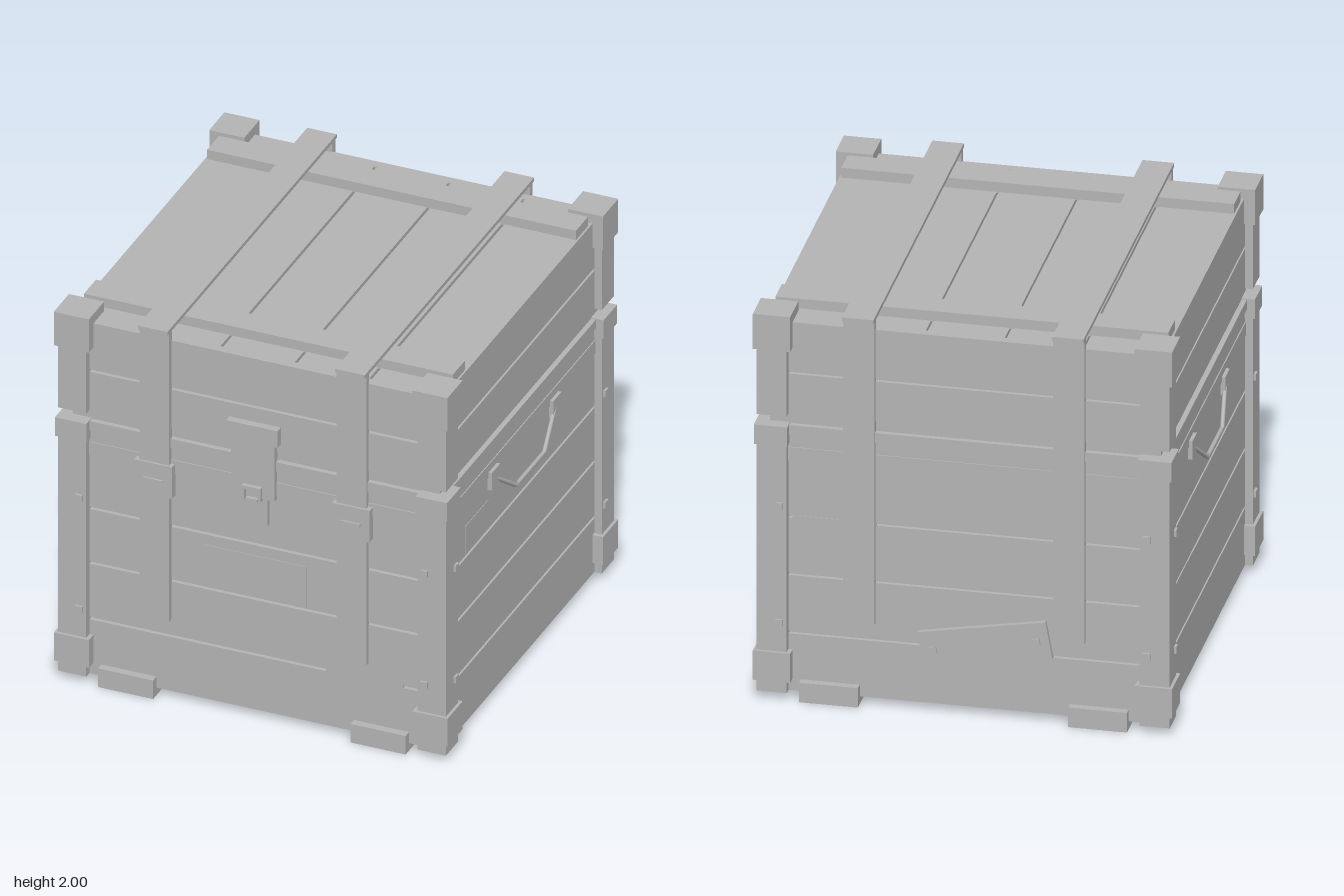
import * as THREE from 'three';

export function createModel() {
  const root = new THREE.Group();
  root.name = 'strappedCrate';
  const grey = new THREE.MeshStandardMaterial({ color: 0xb4b4b4 });
  grey.name = 'plainGrey';

  // Box given by its lower and upper limits on each axis
  const box = (name, x0, x1, y0, y1, z0, z1, parent = root) => {
    const m = new THREE.Mesh(new THREE.BoxGeometry(x1 - x0, y1 - y0, z1 - z0), grey);
    m.position.set((x0 + x1) / 2, (y0 + y1) / 2, (z0 + z1) / 2);
    m.name = name;
    parent.add(m);
    return m;
  };
  const sides = [-1, 1];
  // Box mirrored to the side s along one axis
  const span = (s, a, b) => (s > 0 ? [a, b] : [-b, -a]);

  // Inner chest and lid cores, seen only in the grooves and the seam
  box('chestCore', -0.925, 0.925, 0.1, 1.4, -0.925, 0.925);
  box('seamCore', -0.93, 0.93, 1.38, 1.48, -0.93, 0.93);
  box('lidCore', -0.925, 0.925, 1.46, 1.91, -0.925, 0.925);

  // Horizontal wall planks: bottom, top, outer face
  const planks = [
    [0.04, 0.33, 0.945], [0.345, 0.63, 0.945], [0.645, 0.925, 0.945], [0.94, 1.22, 0.945],
    [1.22, 1.29, 0.95], [1.29, 1.355, 0.945], [1.355, 1.405, 0.955],
    [1.46, 1.665, 0.945], [1.68, 1.93, 0.945],
  ];
  for (const [y0, y1, out] of planks) {
    for (const s of sides) {
      box('wallPlank', -0.94, 0.94, y0, y1, ...span(s, 0.9, out));
      box('sidePlank', ...span(s, 0.9, out), y0, y1, -0.94, 0.94);
    }
  }
  // Patch bridging the lowest front groove
  box('groovePatch', 0.36, 0.75, 0.32, 0.355, 0.9, 0.945);

  // Lid top boards and cross battens
  const cuts = [-0.945, -0.565, -0.188, 0.188, 0.565, 0.945];
  for (let i = 0; i < 5; i++) {
    box('lidBoard', cuts[i] + (i ? 0.007 : 0), cuts[i + 1] - (i < 4 ? 0.007 : 0), 1.89, 1.93, -0.945, 0.945);
  }
  for (const s of sides) box('lidBatten', -0.935, 0.935, 1.925, 1.98, ...span(s, 0.65, 0.79));

  // Corner posts, metal caps and bolts
  for (const sx of sides) {
    for (const sz of sides) {
      const corner = new THREE.Group();
      corner.name = 'corner';
      root.add(corner);
      const part = (name, inner, outer, y0, y1) =>
        box(name, ...span(sx, inner, outer), y0, y1, ...span(sz, inner, outer), corner);
      part('chestPost', 0.84, 0.983, 0.04, 1.4);
      part('lidPost', 0.84, 0.983, 1.46, 1.9);
      part('topCap', 0.82, 0.998, 1.8, 1.98);
      part('postCollar', 0.835, 0.994, 1.31, 1.41);
      part('bottomCap', 0.82, 0.998, 0.1, 0.25);
      for (const y of [0.4, 1.0]) {
        box('bolt', ...span(sx, 0.857, 0.892), y - 0.017, y + 0.017, ...span(sz, 0.97, 0.995), corner);
        box('bolt', ...span(sx, 0.97, 0.995), y - 0.017, y + 0.017, ...span(sz, 0.857, 0.892), corner);
      }
    }
  }

  // Straps over the lid, with buckles at the front, and floor runners
  for (const s of sides) {
    const xs = span(s, 0.425, 0.575);
    box('strapTop', ...xs, 1.98, 2.0, -0.99, 0.99);
    for (const sz of sides) box('strapDrop', ...xs, 0.425, 1.99, ...span(sz, 0.94, 0.972));
    box('buckle', ...span(s, 0.405, 0.597), 1.1, 1.27, 0.94, 0.983);
    box('bucklePin', ...span(s, 0.45, 0.55), 1.175, 1.19, 0.98, 0.992);
    box('runner', ...span(s, 0.5, 0.78), 0, 0.1, -0.985, 0.985);
  }

  // Front latch with a wire loop
  const latch = new THREE.Group();
  latch.name = 'latch';
  root.add(latch);
  box('latchHead', -0.13, 0.13, 1.5, 1.59, 0.94, 0.983, latch);
  box('latchPlate', -0.11, 0.11, 1.2, 1.5, 0.94, 0.973, latch);
  box('latchCatch', -0.075, 0.072, 1.055, 1.2, 0.94, 0.965, latch);
  for (const s of sides) box('loopSide', ...span(s, 0.035, 0.048), 1.19, 1.265, 0.965, 0.995, latch);
  box('loopBar', -0.048, 0.048, 1.25, 1.265, 0.97, 0.995, latch);
  box('loopHook', -0.03, 0.03, 1.185, 1.2, 0.96, 0.99, latch);

  // Bent carrying handles on both sides
  for (const s of sides) {
    const handle = new THREE.Group();
    handle.name = 'sideHandle';
    root.add(handle);
    for (const sz of sides) {
      box('handleBracket', ...span(s, 0.94, 0.967), 1.155, 1.25, ...span(sz, 0.31, 0.408), handle);
    }
    const pts = [[0.955, 1.205, 0.365], [0.984, 1.06, 0.165], [0.984, 1.06, -0.165], [0.955, 1.205, -0.365]]
      .map(([x, y, z]) => new THREE.Vector3(s * x, y, z));
    const path = new THREE.CurvePath();
    for (let i = 0; i < 3; i++) path.add(new THREE.LineCurve3(pts[i], pts[i + 1]));
    const rod = new THREE.Mesh(new THREE.TubeGeometry(path, 30, 0.011, 8), grey);
    rod.name = 'handleRod';
    handle.add(rod);
  }

  // Tilted repair board on the back
  const repair = new THREE.Group();
  repair.name = 'repairBoard';
  repair.position.set(-0.1, 0.37, -0.957);
  repair.rotation.z = -0.18;
  root.add(repair);
  box('board', -0.31, 0.31, -0.095, 0.095, -0.012, 0.02, repair);
  for (const x of [-0.25, 0.25]) box('boardNail', x - 0.017, x + 0.017, -0.017, 0.017, -0.022, 0, repair);

  // Thin blank plates on the walls
  box('frontPlate', -0.26, 0.26, 0.645, 0.87, 0.94, 0.948);
  box('backPlate', 0.42, 0.82, 0.76, 0.94, -0.948, -0.94);
  box('leftPlate', 0.94, 0.948, 0.95, 1.1, 0.4, 0.67);
  box('rightPlate', -0.948, -0.94, 0.48, 0.64, -0.68, -0.32);

  return root;
}
